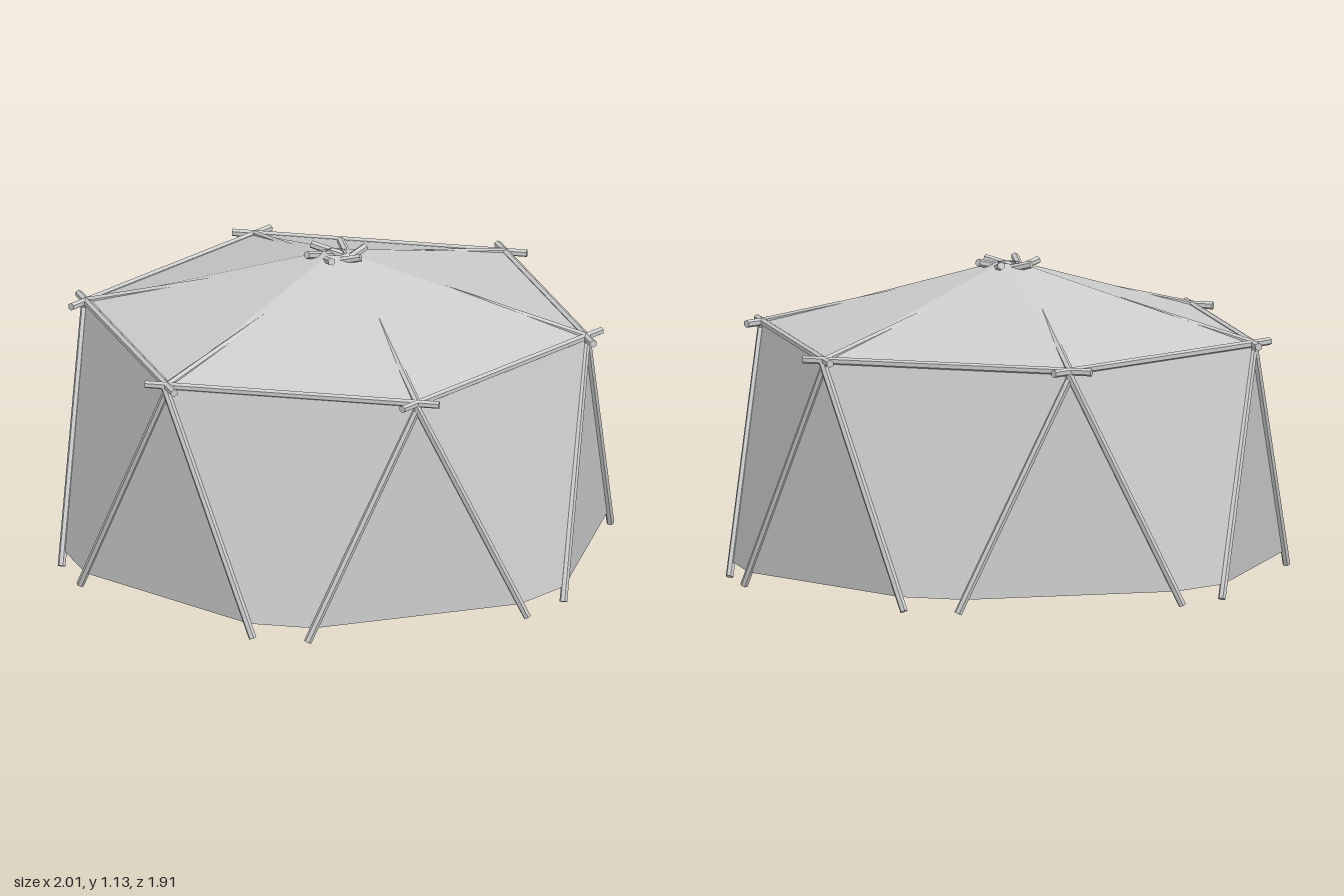
import * as THREE from 'three';

const SIDES = 6, R = 0.905, EAVE = 0.86, POLE = 0.014;
const HEM = 0.055, LEG_SPREAD = 0.41, HUB_R = 0.04, HUB_Y = 1.113;

const poleMaterial = new THREE.MeshStandardMaterial({ color: 0xcccccc, flatShading: true });
const clothMaterial = new THREE.MeshStandardMaterial({ color: 0xcccccc, flatShading: true, side: THREE.DoubleSide });

// Point given by corner number, radial distance, tangential offset and height
function at(i, radial, tangent, y) {
  const a = (i * Math.PI * 2) / SIDES, s = Math.sin(a), c = Math.cos(a);
  return new THREE.Vector3(radial * s + tangent * c, y, radial * c - tangent * s);
}

// Straight pole between two points, lengthened by extra at both ends
function pole(name, a, b, extra = 0) {
  const dir = b.clone().sub(a), length = dir.length() + extra * 2;
  const mesh = new THREE.Mesh(new THREE.CylinderGeometry(POLE, POLE, length, 6), poleMaterial);
  mesh.position.copy(a).add(b).multiplyScalar(0.5);
  mesh.quaternion.setFromUnitVectors(new THREE.Vector3(0, 1, 0), dir.normalize());
  mesh.name = name;
  return mesh;
}

// Flat cloth panel from corners in counter-clockwise order
function panel(name, pts) {
  const tris = [];
  for (let i = 1; i < pts.length - 1; i++) tris.push(pts[0], pts[i], pts[i + 1]);
  const geo = new THREE.BufferGeometry().setFromPoints(tris);
  geo.computeVertexNormals();
  const mesh = new THREE.Mesh(geo, clothMaterial);
  mesh.name = name;
  return mesh;
}

export function createModel() {
  const model = new THREE.Group();
  model.name = 'tent';
  const frame = new THREE.Group(), walls = new THREE.Group(), roof = new THREE.Group();
  frame.name = 'frame';
  walls.name = 'walls';
  roof.name = 'roof';
  model.add(frame, walls, roof);

  const hem = LEG_SPREAD * (EAVE - HEM) / (EAVE - 0.006);
  for (let i = 0; i < SIDES; i++) {
    const corner = at(i, R, 0, EAVE), next = at(i + 1, R, 0, EAVE);

    // Eave beam running past both corners
    frame.add(pole('eaveBeam', corner, next, 0.08));

    // Pair of splayed legs below each corner
    for (const side of [-1, 1]) {
      const outer = R + 0.003 + side * 0.002;
      frame.add(pole('leg', at(i, outer, side * LEG_SPREAD, 0.006), at(i, outer, side * -0.008, EAVE - 0.004)));
    }

    // Rafter passing beside the smoke hole to poke out on the far side
    frame.add(pole('rafter', at(i, R, 0, EAVE), at(i, -0.1, 0.05, 1.117)));

    // Triangular wall under the corner, and the wall reaching the next corner
    const left = at(i, R, -hem, HEM), right = at(i, R, hem, HEM);
    walls.add(panel('legPanel', [left, right, corner]));
    walls.add(panel('wallPanel', [right, at(i + 1, R, -hem, HEM), next, corner]));

    // Roof panel rising to the smoke hole
    roof.add(panel('roofPanel', [corner, next, at(i + 1, HUB_R, 0, HUB_Y), at(i, HUB_R, 0, HUB_Y)]));
  }
  return model;
}
